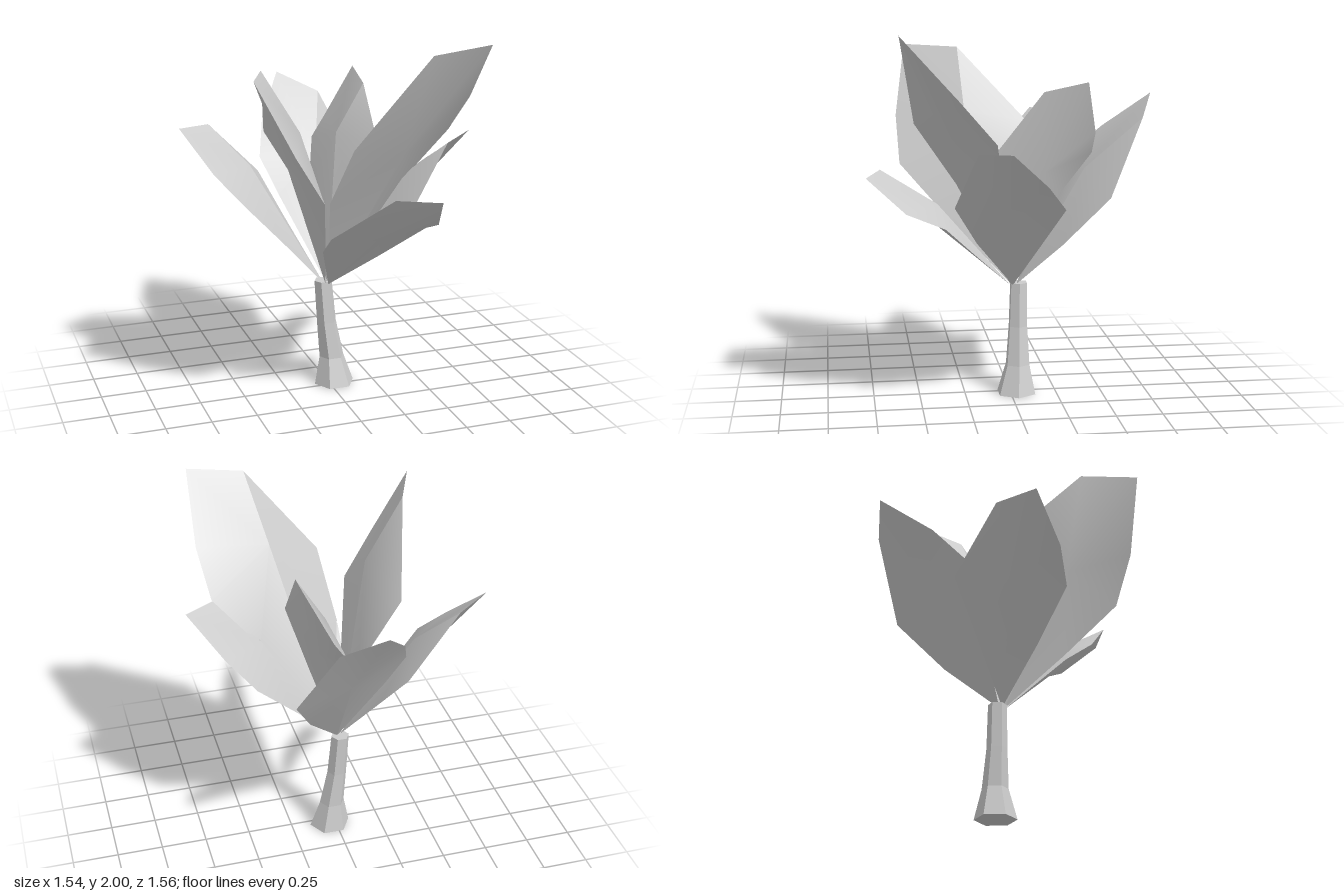
import * as THREE from 'three';

const stemMaterial = new THREE.MeshStandardMaterial({ color: 0xcccccc, flatShading: true });
const leafMaterial = new THREE.MeshStandardMaterial({ color: 0xcccccc, side: THREE.DoubleSide });

// Six-sided stem: tapers, and leans through ring centres [y, x, z, radius]
function makeStem() {
  const rings = [[0, 0.032, -0.033, 0.113], [0.16, 0.02, -0.042, 0.07], [0.37, -0.008, -0.047, 0.055], [0.61, -0.025, -0.053, 0.05]];
  const geometry = new THREE.CylinderGeometry(1, 1, 3, 6, 3).rotateY(Math.PI / 6).translate(0, 1.5, 0);
  const position = geometry.attributes.position;
  for (let i = 0; i < position.count; i++) {
    const [y, x, z, r] = rings[Math.round(position.getY(i))];
    position.setXYZ(i, x + position.getX(i) * r, y, z + position.getZ(i) * r);
  }
  const stem = new THREE.Mesh(geometry, stemMaterial);
  stem.name = 'stem';
  return stem;
}

// Smooth surface fanned from its first point across the others
function makeFan(name, points) {
  const geometry = new THREE.BufferGeometry().setFromPoints(points);
  const triangles = [];
  for (let i = 1; i < points.length - 1; i++) triangles.push(0, i, i + 1);
  geometry.setIndex(triangles);
  geometry.computeVertexNormals();
  const fan = new THREE.Mesh(geometry, leafMaterial);
  fan.name = name;
  return fan;
}

// Thick leaf: upper side folded along a raised rib, nearly flat underside
function makeLeaf(name, corners) {
  const [lowLeft, left, ribEnd, tip, upperRight, right, lowRight, rib] = corners.map((p) => new THREE.Vector3(...p));
  const base = new THREE.Vector3(-0.015 + 0.04 * rib.x, 0.6, -0.02 + 0.04 * rib.z);
  const underside = base.clone().lerp(ribEnd.clone().lerp(tip, 0.5), 0.58);
  const leaf = new THREE.Group();
  leaf.name = name;
  leaf.add(
    makeFan('upperLeftHalf', [rib, ribEnd, left, lowLeft, base]),
    makeFan('upperRightHalf', [rib, base, lowRight, right, upperRight, tip, ribEnd]),
    makeFan('underside', [underside, base, lowLeft, left, ribEnd, tip, upperRight, right, lowRight, base]),
  );
  return leaf;
}

export function createModel() {
  const plant = new THREE.Group();
  plant.name = 'leafyPlant';
  // Leaf corners run round the outline from low left to low right, then the rib point
  plant.add(
    makeStem(),
    makeLeaf('tallFrontLeaf', [[-0.1, 1.15, 0.28], [-0.05, 1.49, 0.51], [0.33, 1.96, 0.6], [0.635, 2, 0.62],
      [0.655, 1.68, 0.33], [0.62, 1.46, 0.14], [0.38, 1.18, 0.08], [0.26, 1.64, 0.33]]),
    makeLeaf('lowFrontLeaf', [[-0.145, 0.9, 0.3], [-0.155, 1.02, 0.46], [0.1, 1.27, 0.7], [0.32, 1.26, 0.78],
      [0.385, 1.08, 0.58], [0.4, 1, 0.38], [0.21, 0.81, 0.2], [0.1, 1.08, 0.4]]),
    makeLeaf('frontRightLeaf', [[-0.09, 1.12, -0.17], [-0.33, 1.46, -0.14], [-0.45, 1.87, 0.24], [-0.57, 1.88, 0.53],
      [-0.38, 1.5, 0.59], [-0.23, 1.25, 0.58], [-0.13, 0.93, 0.3], [-0.24, 1.53, 0.22]]),
    makeLeaf('rightLeaf', [[-0.18, 0.93, -0.27], [-0.28, 1.16, -0.44], [-0.58, 1.47, -0.35], [-0.77, 1.49, -0.22],
      [-0.64, 1.28, -0.01], [-0.51, 1.13, 0.1], [-0.28, 0.88, 0.05], [-0.39, 1.26, -0.2]]),
    makeLeaf('backLeaf', [[0.2, 0.86, -0.26], [0.33, 1.13, -0.49], [0.16, 1.53, -0.69], [-0.06, 1.64, -0.78],
      [-0.22, 1.44, -0.54], [-0.29, 1.26, -0.36], [-0.21, 1.06, -0.27], [0.05, 1.25, -0.4]]),
    makeLeaf('uprightBackLeaf', [[0.12, 1, 0.04], [0.24, 1.38, 0.09], [0.24, 1.68, -0.15], [0.26, 1.73, -0.38],
      [0.12, 1.45, -0.445], [0.04, 1.33, -0.44], [-0.03, 1.1, -0.28], [0.08, 1.42, -0.14]]),
    makeLeaf('leftLeaf', [[0.2, 0.88, 0.2], [0.35, 1.1, 0.33], [0.58, 1.41, 0.23], [0.77, 1.43, 0.08],
      [0.61, 1.24, -0.12], [0.47, 1.1, -0.23], [0.24, 0.86, -0.13], [0.37, 1.2, 0.07]]),
  );
  return plant;
}
